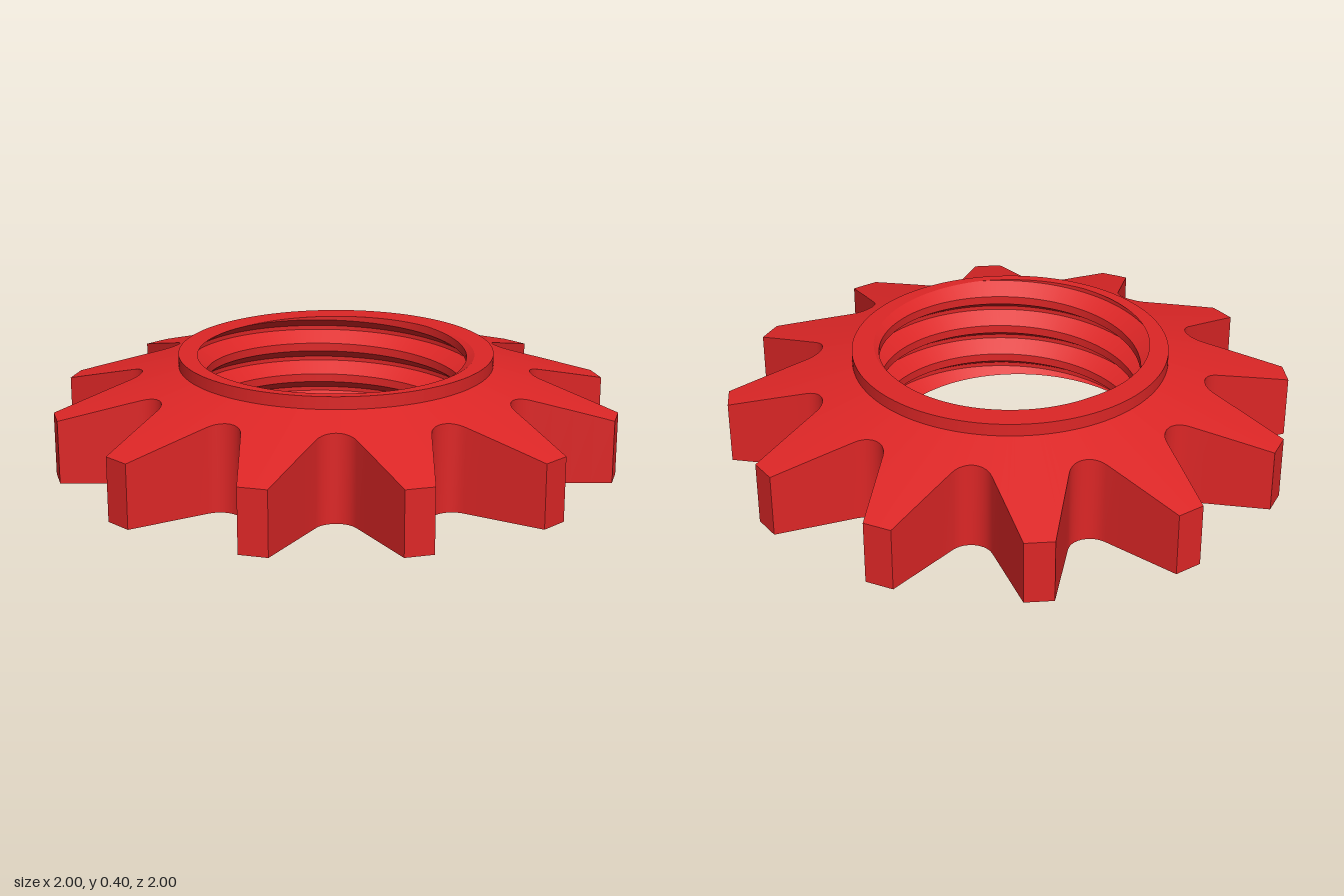
import * as THREE from 'three';
import { toCreasedNormals } from 'three/addons/utils/BufferGeometryUtils.js';

const TEETH = 12, HEIGHT = 0.4, COLLAR_R = 0.57, COLLAR_Y = 0.355;
const MINOR_R = 0.473, MAJOR_R = 0.535, PITCH = 0.125;
const PHASE = 0.25 - HEIGHT / PITCH;
const TAU = Math.PI * 2;

const coneY = (r) => COLLAR_Y - (r - COLLAR_R) * 0.277;

// Outline columns { theta, r }: rounded V gaps between straight-sided teeth
function outline() {
  const gap = [];
  const tip = [1.0, 0.215], foot = [0.7435, 0.0667];
  const flank = (t, s) => [tip[0] + (foot[0] - tip[0]) * t, s * (tip[1] + (foot[1] - tip[1]) * t)];
  for (let i = 0; i < 4; i++) gap.push(flank(i / 4, -1));
  for (let i = 0; i <= 10; i++) {
    const a = (i / 10 - 0.5) * TAU / 3;
    gap.push([0.782 - 0.077 * Math.cos(a), 0.077 * Math.sin(a)]);
  }
  for (let i = 3; i >= 0; i--) gap.push(flank(i / 4, 1));
  // Middle of the flat tooth tip
  const half = Math.PI / TEETH;
  const mid = Math.hypot(...tip) * Math.cos(half - Math.atan2(tip[1], tip[0]));
  gap.push([mid * Math.cos(half), mid * Math.sin(half)]);

  const columns = [];
  for (let k = 0; k < TEETH; k++) {
    for (const [p, q] of gap) {
      columns.push({ theta: k * TAU / TEETH + Math.atan2(q, p), r: Math.hypot(p, q) });
    }
  }
  columns.push({ theta: columns[0].theta + TAU, r: columns[0].r });
  return columns;
}

// Radius of the threaded bore: flat crests and roots with sloping flanks
function boreRadius(theta, y) {
  const u = y / PITCH - theta / TAU + PHASE;
  const d = Math.abs(u - Math.round(u));
  return MINOR_R + (MAJOR_R - MINOR_R) * THREE.MathUtils.clamp((d - 0.125) / 0.3125, 0, 1);
}

// Bore section from top to bottom, its rows following the helix
function boreSection({ theta }) {
  const section = [];
  for (let k = 2; k >= -6; k--) {
    for (const f of [0.5625, 0.4375, 0.125, -0.125]) {
      const y = THREE.MathUtils.clamp((k + f + theta / TAU - PHASE) * PITCH, 0, HEIGHT);
      section.push([boreRadius(theta, y), y]);
    }
  }
  return section;
}

// Skin between the [radius, height] sections of neighbouring columns
function loft(name, columns, section, material) {
  const grid = columns.map((c) => section(c).map(([r, y]) =>
    new THREE.Vector3(r * Math.cos(c.theta), y, -r * Math.sin(c.theta))));
  const positions = [];
  const triangle = new THREE.Triangle();
  const add = (a, b, c) => {
    if (triangle.set(a, b, c).getArea() < 1e-9) return;
    for (const v of [a, b, c]) positions.push(v.x, v.y, v.z);
  };
  for (let j = 0; j + 1 < grid.length; j++) {
    for (let i = 0; i + 1 < grid[j].length; i++) {
      const a = grid[j][i], b = grid[j][i + 1], c = grid[j + 1][i + 1], d = grid[j + 1][i];
      add(a, d, c);
      add(a, c, b);
    }
  }
  const geometry = new THREE.BufferGeometry();
  geometry.setAttribute('position', new THREE.Float32BufferAttribute(positions, 3));
  const mesh = new THREE.Mesh(toCreasedNormals(geometry, 0.4), material);
  mesh.name = name;
  return mesh;
}

export function createModel() {
  const group = new THREE.Group();
  group.name = 'threadedSprocket';
  const red = new THREE.MeshStandardMaterial({ color: 0xdd2626 });
  const columns = outline();

  // Toothed disc: flat underside, tooth walls and conical top
  group.add(loft('toothedDisc', columns, ({ theta, r }) => [
    [boreRadius(theta, 0), 0], [r, 0], [r, coneY(r)], [COLLAR_R, COLLAR_Y],
  ], red));

  // Raised collar with its flat rim
  group.add(loft('collar', columns, ({ theta }) => [
    [COLLAR_R, COLLAR_Y], [COLLAR_R, HEIGHT], [boreRadius(theta, HEIGHT), HEIGHT],
  ], red));

  // Helical internal thread
  group.add(loft('threadedBore', columns, boreSection, red));
  return group;
}
